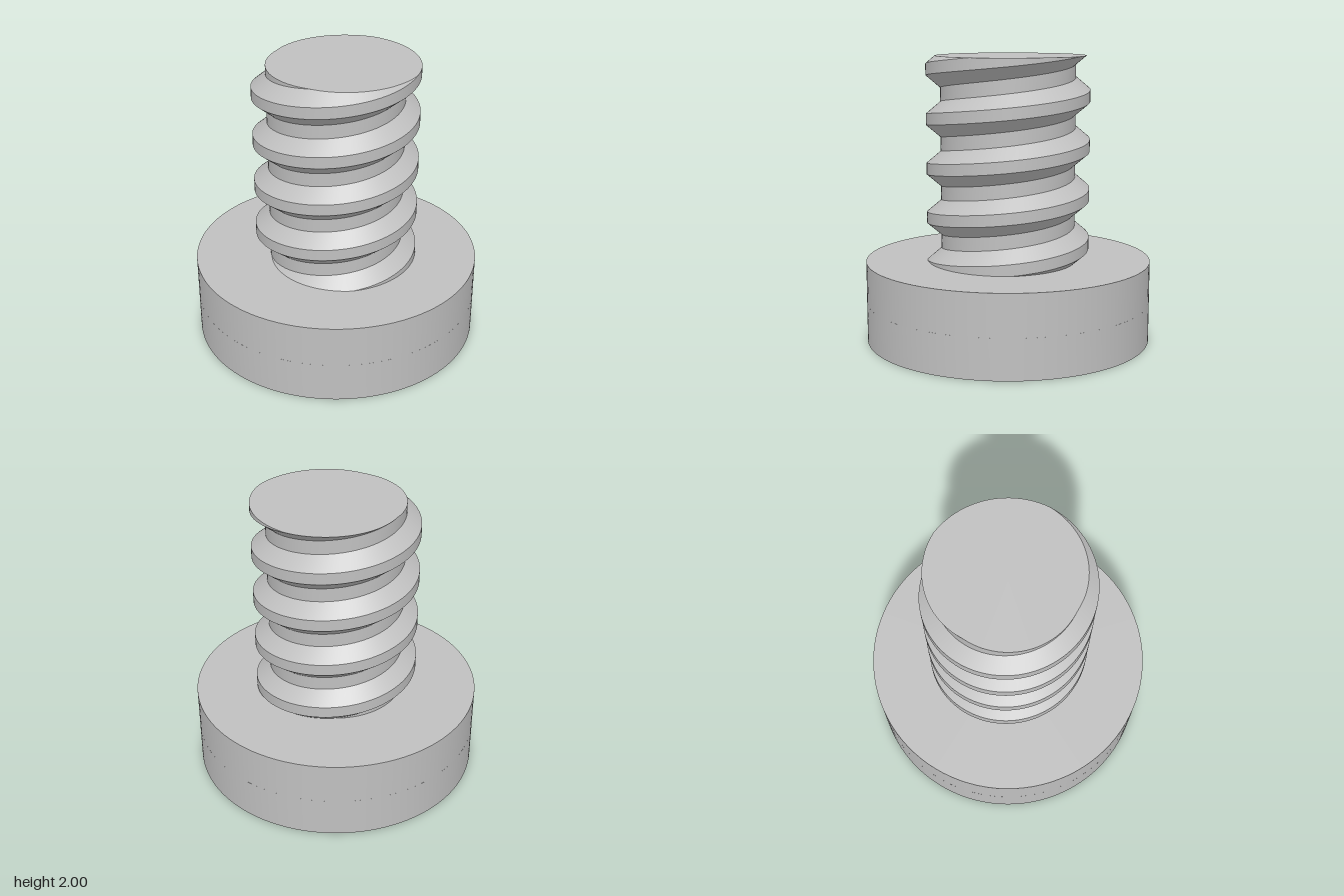
import * as THREE from 'three';
import { toCreasedNormals } from 'three/addons/utils/BufferGeometryUtils.js';

const HEAD_R = 1, HEAD_H = 0.57, TOP = 2;
const SLOT_L = 1.27, SLOT_W = 0.23, SLOT_D = 0.28;
const ROOT_R = 0.47, CREST_R = 0.57, PITCH = 0.344;
const CREST = 0.04, FLANK = 0.124;   // half heights of the crest and of the whole ridge
const START = 1.777;                 // crest height on the -x side
const SEG = 96;

const steel = new THREE.MeshStandardMaterial({ color: 0xc0c0c0 });
steel.name = 'steel grey';

// crest height after a number of turns
const crestY = (turn) => START + PITCH * turn;

// shank radius at a height and turn
function radiusAt(y, turn) {
  const d0 = (y - crestY(turn)) / PITCH;
  const d = Math.abs(d0 - Math.round(d0)) * PITCH;
  const t = THREE.MathUtils.clamp((d - CREST) / (FLANK - CREST), 0, 1);
  return THREE.MathUtils.lerp(CREST_R, ROOT_R, t);
}

function pointAt(y, turn) {
  const r = radiusAt(y, turn), a = turn * Math.PI * 2;
  return [-Math.cos(a) * r, y, Math.sin(a) * r];
}

function bufferFrom(positions) {
  const g = new THREE.BufferGeometry();
  g.setAttribute('position', new THREE.Float32BufferAttribute(positions, 3));
  g.computeVertexNormals();
  return g;
}

// helical bands of the thread, clipped between the head and the tip
function threadGeometry() {
  const profile = [-FLANK, -CREST, CREST, FLANK, PITCH - FLANK];
  const pos = [];
  const clip = (y) => THREE.MathUtils.clamp(y, HEAD_H, TOP);
  for (let i = -5 * SEG; i < 2 * SEG; i++) {
    const t0 = i / SEG, t1 = (i + 1) / SEG;
    for (let j = 0; j < 4; j++) {
      const a = clip(crestY(t0) + profile[j]), d = clip(crestY(t0) + profile[j + 1]);
      const b = clip(crestY(t1) + profile[j]), c = clip(crestY(t1) + profile[j + 1]);
      const A = pointAt(a, t0), B = pointAt(b, t1), C = pointAt(c, t1), D = pointAt(d, t0);
      if (c - b > 1e-6) pos.push(...A, ...B, ...C);
      if (d - a > 1e-6) pos.push(...A, ...C, ...D);
    }
  }
  return toCreasedNormals(bufferFrom(pos), 0.5);
}

// flat end face following the cut thread
function tipGeometry() {
  const pos = [];
  for (let i = 0; i < SEG; i++) {
    pos.push(0, TOP, 0, ...pointAt(TOP, i / SEG), ...pointAt(TOP, (i + 1) / SEG));
  }
  return bufferFrom(pos);
}

// lower part of the head with the driver slot cut through it
function slottedGeometry() {
  const shape = new THREE.Shape().absarc(0, 0, HEAD_R, 0, Math.PI * 2);
  const l = SLOT_L / 2, w = SLOT_W / 2;
  shape.holes.push(new THREE.Path().moveTo(-l, -w).lineTo(-l, w).lineTo(l, w).lineTo(l, -w).closePath());
  const g = new THREE.ExtrudeGeometry(shape, { depth: SLOT_D, bevelEnabled: false, curveSegments: SEG });
  g.rotateX(-Math.PI / 2);
  return toCreasedNormals(g, 0.5);
}

export function createModel() {
  const screw = new THREE.Group();
  screw.name = 'screw';
  const add = (name, geometry, parent) => {
    const mesh = new THREE.Mesh(geometry, steel);
    mesh.name = name;
    parent.add(mesh);
    return mesh;
  };

  // head
  const head = new THREE.Group();
  head.name = 'head';
  add('slottedHead', slottedGeometry(), head);
  const upperH = HEAD_H - SLOT_D;
  const upper = add('upperHead', new THREE.CylinderGeometry(HEAD_R, HEAD_R, upperH, SEG), head);
  upper.position.y = SLOT_D + upperH / 2;
  upper.rotation.y = Math.PI / 2;

  // threaded shank
  const shank = new THREE.Group();
  shank.name = 'shank';
  add('thread', threadGeometry(), shank);
  add('tip', tipGeometry(), shank);

  screw.add(head, shank);
  return screw;
}
